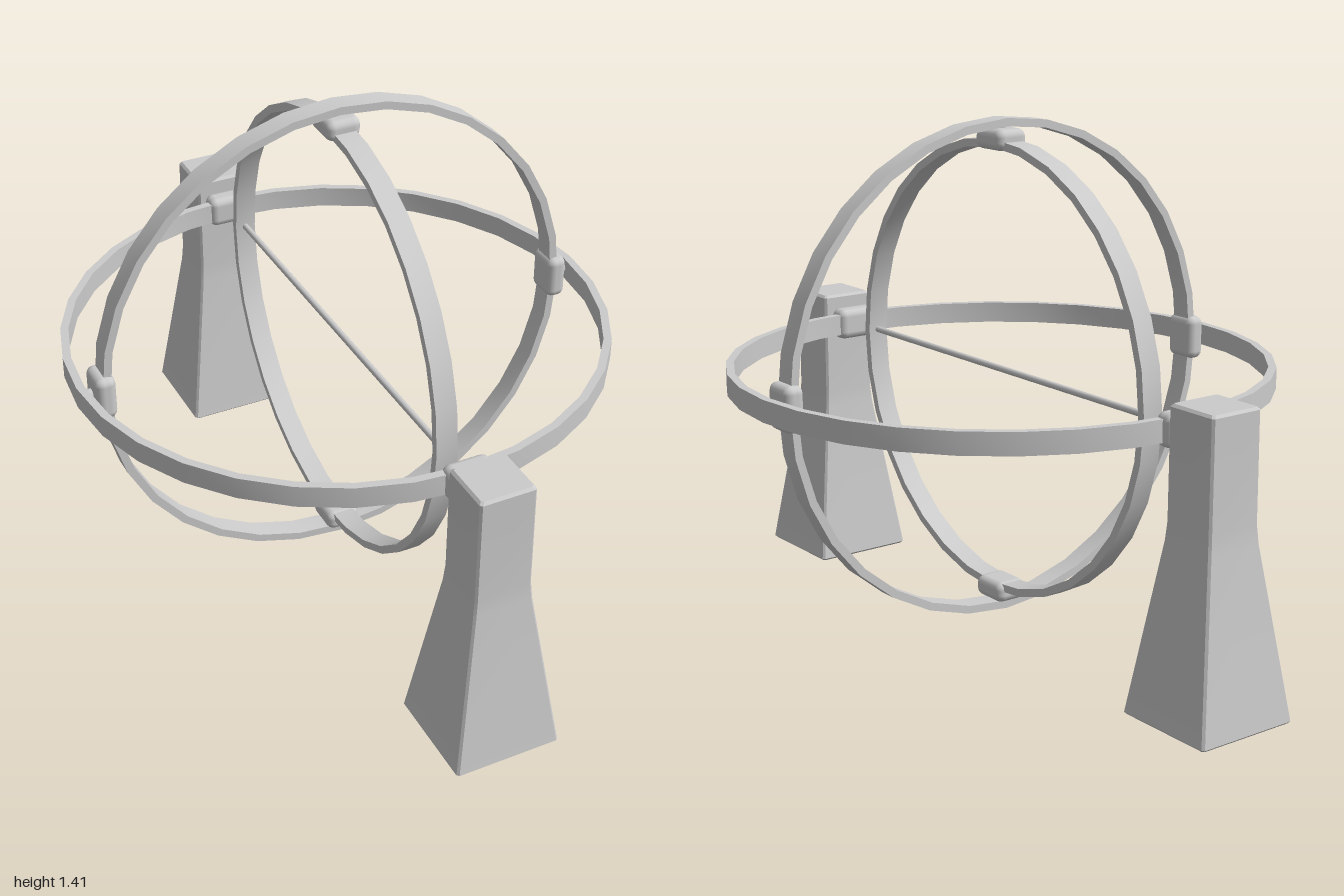
import * as THREE from 'three';
import { toCreasedNormals } from 'three/addons/utils/BufferGeometryUtils.js';
import { RoundedBoxGeometry } from 'three/addons/geometries/RoundedBoxGeometry.js';

const CENTRE_Y = 0.725;
const material = new THREE.MeshStandardMaterial({ color: 0xcccccc });

function part(geometry, name, parent) {
  const mesh = new THREE.Mesh(geometry, material);
  mesh.name = name;
  parent.add(mesh);
  return mesh;
}

// Flat band lying around the y axis
function bandGeometry(outer, thickness = 0.022, width = 0.06) {
  const inner = outer - thickness, h = width / 2;
  const profile = [[outer, -h], [outer, h], [inner, h], [inner, -h], [outer, -h]]
    .map(([r, y]) => new THREE.Vector2(r, y));
  return toCreasedNormals(new THREE.LatheGeometry(profile, 32), 0.6);
}

// Tapered square post made of chamfered square sections: [half width, y]
function postGeometry() {
  const levels = [[0.142, 0], [0.148, 0.006], [0.083, 0.46], [0.079, 0.51], [0.078, 0.798], [0.071, 0.805]];
  const chamfer = 0.006, positions = [], indices = [];
  for (const [w, y] of levels) {
    const c = w - chamfer;
    for (const [x, z] of [[w, -c], [w, c], [c, w], [-c, w], [-w, c], [-w, -c], [-c, -w], [c, -w]]) {
      positions.push(x, y, z);
    }
  }
  for (let l = 0; l < levels.length - 1; l++) {
    for (let i = 0; i < 8; i++) {
      const a = l * 8 + i, b = l * 8 + (i + 1) % 8;
      indices.push(a, a + 8, b, b, a + 8, b + 8);
    }
  }
  const top = (levels.length - 1) * 8;
  for (let i = 1; i < 7; i++) {
    indices.push(0, i, i + 1);
    indices.push(top, top + i + 1, top + i);
  }
  const geometry = new THREE.BufferGeometry();
  geometry.setAttribute('position', new THREE.Float32BufferAttribute(positions, 3));
  geometry.setIndex(indices);
  return toCreasedNormals(geometry, 0.35);
}

// Two opposite clamps on a band, each with a pivot pin pointing outwards along +x / -x
function addPivots(parent, name, radius, size, pinEnd) {
  const clampGeometry = new RoundedBoxGeometry(...size, 2, 0.022);
  const pinGeometry = new THREE.CylinderGeometry(0.016, 0.016, pinEnd - radius, 16);
  for (const angle of [0, Math.PI]) {
    const pivot = new THREE.Group();
    pivot.name = name + 'Pivot';
    pivot.rotation.y = angle;
    part(clampGeometry, name + 'Clamp', pivot).position.x = radius;
    const pin = part(pinGeometry, name + 'Pin', pivot);
    pin.rotation.z = Math.PI / 2;
    pin.position.x = (radius + pinEnd) / 2;
    parent.add(pivot);
  }
}

export function createModel() {
  const model = new THREE.Group();
  model.name = 'gimbal';

  // Support posts, front and back
  const post = postGeometry();
  for (const side of [1, -1]) {
    part(post, side > 0 ? 'frontPost' : 'backPost', model).position.z = side * 0.852;
  }

  const rings = new THREE.Group();
  rings.name = 'rings';
  rings.position.y = CENTRE_Y;
  model.add(rings);

  // Horizontal outer ring, pivoting on the posts
  part(bandGeometry(0.745), 'outerRing', rings);
  const outerPivots = new THREE.Group();
  outerPivots.name = 'outerPivots';
  outerPivots.rotation.y = Math.PI / 2;
  addPivots(outerPivots, 'outer', 0.737, [0.062, 0.09, 0.13], 0.785);
  rings.add(outerPivots);

  // Upright middle ring, pivoting left and right
  part(bandGeometry(0.685), 'middleRing', rings).rotation.x = Math.PI / 2;
  addPivots(rings, 'middle', 0.677, [0.056, 0.125, 0.1], 0.73);

  // Upright inner ring, pivoting top and bottom
  part(bandGeometry(0.63), 'innerRing', rings).rotation.z = Math.PI / 2;
  const innerPivots = new THREE.Group();
  innerPivots.name = 'innerPivots';
  innerPivots.rotation.z = Math.PI / 2;
  addPivots(innerPivots, 'inner', 0.629, [0.058, 0.096, 0.115], 0.668);
  rings.add(innerPivots);

  // Thin axle across the inner ring
  const axle = part(new THREE.CylinderGeometry(0.009, 0.009, 1.23, 12), 'axle', rings);
  axle.rotation.x = Math.PI / 2;

  return model;
}
